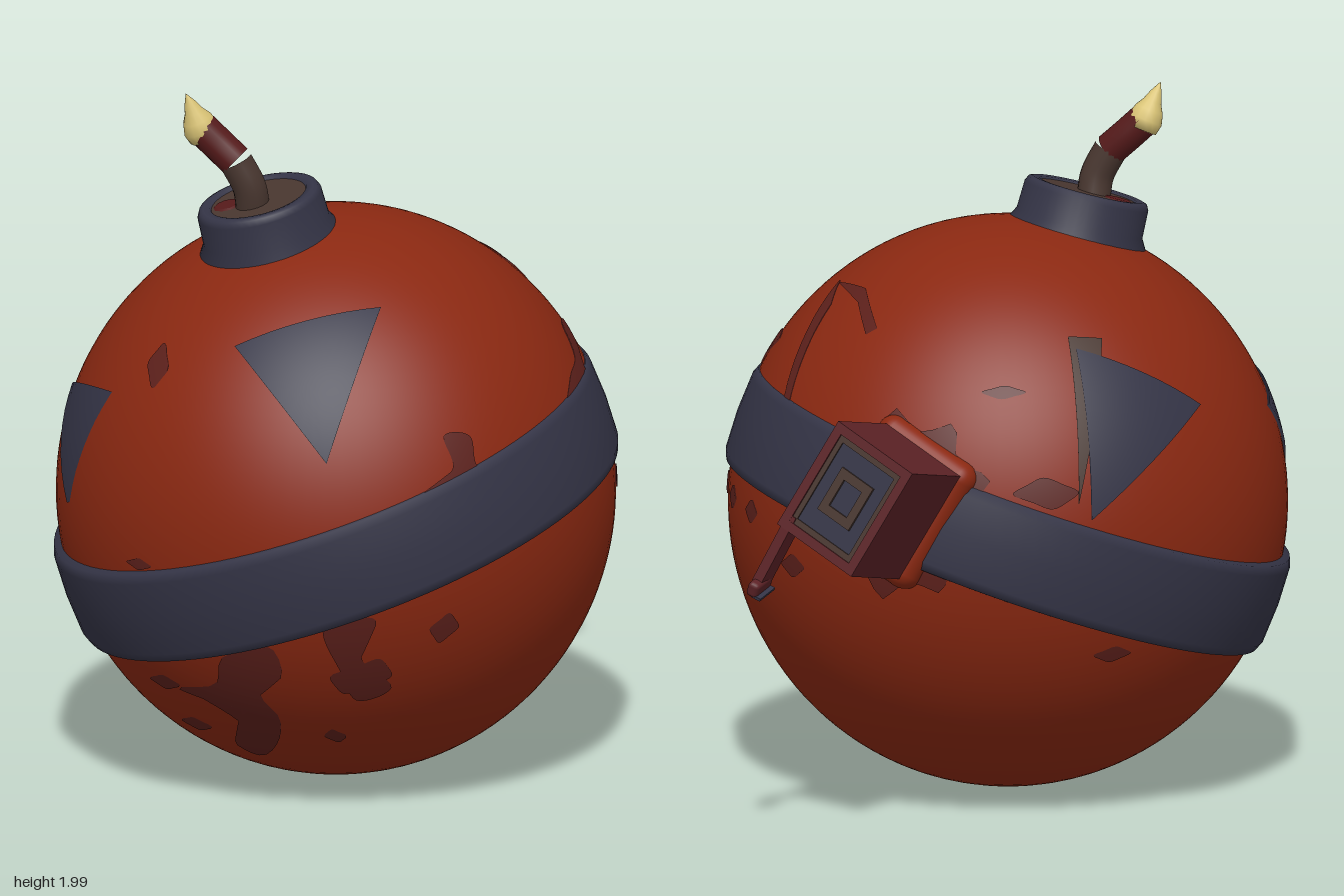
import * as THREE from 'three';
import { RoundedBoxGeometry } from 'three/addons/geometries/RoundedBoxGeometry.js';

const mat = (name, color, side = THREE.FrontSide) => {
  const m = new THREE.MeshStandardMaterial({ color, side });
  m.name = name;
  return m;
};
const V = (x, y, z) => new THREE.Vector3(x, y, z);

const R = 0.79, CY = 0.81, CZ = 0.2, SY = 1.025; // body radius, centre and stretch

export function createModel() {
  const red = mat('body red', 0x8a2811);
  const slate = mat('slate paint', 0x343446, THREE.DoubleSide);
  const grime = mat('dark red grime', 0x5c201b);
  const maroon = mat('maroon', 0x5c2226, THREE.DoubleSide);
  const brown = mat('worn brown', 0x48362f);
  const fuseRed = mat('fuse red', 0x551a1a);
  const flame = mat('flame yellow', 0xdac476);

  const root = new THREE.Group();
  const add = (parent, name, geo, material, x = 0, y = 0, z = 0) => {
    const m = new THREE.Mesh(geo, material);
    m.name = name;
    m.position.set(x, y, z);
    parent.add(m);
    return m;
  };
  const aim = (obj, dir) => obj.quaternion.setFromUnitVectors(V(0, 1, 0), dir.clone().normalize());

  // Round body
  const body = new THREE.Group();
  body.name = 'body';
  body.position.set(0, CY, CZ);
  body.scale.set(1, SY, 1);
  root.add(body);
  add(body, 'ball', new THREE.SphereGeometry(R, 96, 64), red);

  // Unit direction on the ball from two coordinates seen along one axis
  const onBall = (side, a, b) => {
    const far = (p, q) => Math.sqrt(Math.max(0, R * R - p * p - q * q));
    const y = (b - CY) / SY;
    let p;
    if (side === 'top') p = V(a, far(a, b - CZ), b - CZ);
    else if (side === 'front' || side === 'back') p = V(a, y, far(a, y) * (side === 'front' ? 1 : -1));
    else p = V(far(a - CZ, y) * (side === 'right' ? 1 : -1), y, a - CZ);
    return p.normalize();
  };

  // Thin curved plate that follows the ball, with a short skirt at its edge
  function patch(name, outline, lift, material) {
    const c = outline.reduce((s, p) => s.add(p), V(0, 0, 0)).normalize();
    const n = outline.length, rings = 6, pos = [], nor = [], idx = [];
    const turn = V(0, 0, 0);
    outline.forEach((p, i) => turn.add(p.clone().cross(outline[(i + 1) % n])));
    const pts = turn.dot(c) < 0 ? outline.slice().reverse() : outline;
    for (let k = 0; k <= rings + 1; k++) for (const p of pts) {
      const d = c.clone().lerp(p, Math.min(k / rings, 1)).normalize();
      nor.push(d.x, d.y, d.z);
      d.multiplyScalar(k > rings ? R - 0.01 : R + lift);
      pos.push(d.x, d.y, d.z);
    }
    for (let k = 0; k <= rings; k++) for (let i = 0; i < n; i++) {
      const a = k * n + i, b = k * n + (i + 1) % n;
      idx.push(a, a + n, b + n, a, b + n, b);
    }
    const g = new THREE.BufferGeometry();
    g.setAttribute('position', new THREE.Float32BufferAttribute(pos, 3));
    g.setAttribute('normal', new THREE.Float32BufferAttribute(nor, 3));
    g.setIndex(idx);
    add(body, name, g, material);
  }
  const straight = (side, corners) => corners.flatMap((p, i) => {
    const a = onBall(side, ...p), b = onBall(side, ...corners[(i + 1) % corners.length]);
    return Array.from({ length: 8 }, (_, k) => a.clone().lerp(b, k / 8).normalize());
  });
  const blob = (side, pts) => {
    const curve = new THREE.CatmullRomCurve3(pts.map((p) => onBall(side, ...p)), true);
    return curve.getPoints(40).slice(0, -1).map((p) => p.normalize());
  };
  const oval = (x, y, w, h) => Array.from({ length: 8 }, (_, i) => {
    const t = i * Math.PI / 4, s = i % 2 ? 0.85 : 1.1;
    return [x + w * s * Math.cos(t), y + h * s * Math.sin(t)];
  });

  // Painted triangles
  patch('frontTriangle', straight('front', [[-0.04, 1.35], [0.31, 1.45], [0.29, 1.07]]), 0.008, slate);
  patch('sideTriangle', straight('front', [[-0.69, 1.1], [-0.44, 1.17], [-0.58, 0.83]]), 0.008, slate);
  patch('backTriangle', straight('top', [[-0.56, -0.35], [-0.43, -0.2], [-0.69, 0.05]]), 0.008, slate);
  patch('backTriangleWear', straight('top', [[-0.53, -0.37], [-0.4, -0.19], [-0.47, -0.12]]), 0.005, brown);

  // Scratched outline of a lost triangle
  [[[0.13, -0.34], [0.16, -0.35], [0.25, -0.23], [0.38, -0.1], [0.24, -0.2]],
   [[0.37, -0.45], [0.39, -0.44], [0.4, -0.25], [0.38, -0.09], [0.35, -0.2]]]
    .forEach((p) => patch('scratch', straight('top', p), 0.004, grime));

  // Grime stains
  const stains = {
    front: [
      [[-0.02, 0.48], [0.13, 0.53], [0.15, 0.44], [0.07, 0.37], [0.1, 0.29], [0.06, 0.2], [-0.04, 0.13],
        [-0.09, 0.17], [-0.02, 0.25], [-0.12, 0.33], [-0.2, 0.35], [-0.06, 0.39]],
      [[0.29, 0.6], [0.42, 0.62], [0.37, 0.5], [0.42, 0.4], [0.33, 0.36], [0.31, 0.46]],
      oval(-0.28, 1.27, 0.035, 0.05), oval(0.23, 0.23, 0.025, 0.02), oval(-0.2, 0.22, 0.05, 0.02),
      oval(-0.25, 0.36, 0.05, 0.02), oval(-0.27, 0.73, 0.04, 0.015),
    ],
    right: [
      [[0.25, 1.1], [0.13, 1.19], [0.02, 1.22], [-0.05, 1.29], [-0.13, 1.28], [-0.1, 1.24], [-0.02, 1.18], [-0.04, 1.12]],
      [[0.76, 0.98], [0.68, 1.04], [0.67, 1.13], [0.61, 1.12], [0.62, 1.04], [0.56, 1.0]],
      oval(0.8, 0.44, 0.04, 0.05), oval(0.7, 0.58, 0.03, 0.04), oval(-0.12, 0.85, 0.04, 0.03),
      oval(-0.3, 0.85, 0.025, 0.03), oval(-0.42, 0.84, 0.02, 0.03),
    ],
    left: [oval(-0.42, 0.98, 0.05, 0.04), oval(-0.28, 1.12, 0.03, 0.015), oval(-0.25, 0.5, 0.04, 0.02)],
    back: [
      Array.from({ length: 18 }, (_, i) => {
        const t = i * Math.PI / 9, s = i % 2 ? 0.21 : 0.27;
        return [-0.06 + s * Math.cos(t), 0.93 + s * Math.sin(t)];
      }),
      oval(-0.3, 1.25, 0.05, 0.015), oval(0.3, 0.72, 0.04, 0.03),
    ],
  };
  for (const side in stains) stains[side].forEach((p) => patch('stain', blob(side, p), 0.004, grime));

  // Tilted band around the ball
  const bandProfile = [[0.765, -0.14], [0.796, -0.135], [0.806, -0.11], [0.811, 0], [0.806, 0.11], [0.796, 0.135], [0.765, 0.14]];
  const band = add(root, 'band', new THREE.LatheGeometry(
    bandProfile.map((p) => new THREE.Vector2(...p)), 96), slate, 0, 0.79, CZ);
  aim(band, V(-0.3, 1, 0.2));

  // Collar with a sunken lid
  const collar = new THREE.Group();
  collar.name = 'collar';
  collar.position.set(-0.155, 1.685, 0.39);
  aim(collar, V(-0.17, 0.96, 0.2));
  root.add(collar);
  const rim = [[0.205, -0.2], [0.2, -0.13], [0.183, -0.1], [0.18, -0.02], [0.172, -0.004], [0.16, 0], [0.14, -0.002], [0.132, -0.02]];
  add(collar, 'collarRing', new THREE.LatheGeometry(rim.map((p) => new THREE.Vector2(...p)), 48), slate);
  add(collar, 'lid', new THREE.CylinderGeometry(0.145, 0.145, 0.04, 40), brown, 0, -0.028, 0);
  add(collar, 'lidStain', new THREE.CylinderGeometry(0.035, 0.045, 0.006, 10), fuseRed, -0.085, -0.007, 0.03);

  // Bent fuse in two colours with a flame at the end
  const tube = (name, pts, material) =>
    add(root, name, new THREE.TubeGeometry(new THREE.CatmullRomCurve3(pts), 20, 0.048, 16), material);
  tube('fuseLower', [V(-0.16, 1.64, 0.41), V(-0.165, 1.72, 0.425), V(-0.2, 1.795, 0.44)], brown);
  tube('fuseUpper', [V(-0.2, 1.795, 0.44), V(-0.25, 1.84, 0.448), V(-0.297, 1.885, 0.46)], fuseRed);
  const bud = [[0, -0.02], [0.045, -0.015], [0.051, 0.015], [0.042, 0.045], [0.027, 0.07], [0.018, 0.095], [0, 0.13]];
  const tip = add(root, 'flame', new THREE.LatheGeometry(
    bud.map((p) => new THREE.Vector2(...p)), 14), flame, -0.295, 1.872, 0.457);
  aim(tip, V(-0.035, 0.12, 0.04));

  // Box on the back, turned about its own axis; local z points outwards
  const box = new THREE.Group();
  box.name = 'backBox';
  const w = V(-0.05, 0.2, -0.98).normalize();
  const u = V(0.16, -0.3, -0.07);
  u.addScaledVector(w, -u.dot(w)).normalize();
  box.quaternion.setFromRotationMatrix(new THREE.Matrix4().makeBasis(u.clone().cross(w), u, w));
  box.position.set(-0.07, 1.015, -0.91);
  root.add(box);
  const frame = (W, H, w2, h2, depth) => {
    const rect = (S, a, b) => {
      const s = new S();
      s.moveTo(-a / 2, -b / 2).lineTo(a / 2, -b / 2).lineTo(a / 2, b / 2).lineTo(-a / 2, b / 2).closePath();
      return s;
    };
    const s = rect(THREE.Shape, W, H);
    s.holes.push(rect(THREE.Path, w2, h2));
    return new THREE.ExtrudeGeometry(s, { depth, bevelEnabled: false });
  };
  add(box, 'boxBody', new THREE.BoxGeometry(0.275, 0.345, 0.48), maroon, 0, 0, -0.26);
  add(box, 'boxRim', frame(0.275, 0.345, 0.22, 0.29, 0.02), maroon, 0, 0, -0.02);
  add(box, 'panelEdge', frame(0.22, 0.29, 0.19, 0.255, 0.014), brown, 0, 0, -0.02);
  add(box, 'panel', new THREE.BoxGeometry(0.2, 0.27, 0.008), slate, 0, 0, -0.016);
  add(box, 'panelFrame', frame(0.115, 0.14, 0.065, 0.085, 0.009), brown, 0, 0, -0.012);
  add(box, 'boxSeat', new RoundedBoxGeometry(0.34, 0.41, 0.16, 4, 0.05), red, 0, 0, -0.4);

  // Small lever hanging from the box corner
  const from = V(0.09, 0.95, -0.9), to = V(0.185, 0.755, -0.935);
  const mid = from.clone().lerp(to, 0.5);
  const lever = add(root, 'lever', new THREE.BoxGeometry(0.03, from.distanceTo(to), 0.06), maroon, mid.x, mid.y, mid.z);
  aim(lever, from.clone().sub(to));
  const foot = add(root, 'leverFoot', new RoundedBoxGeometry(0.035, 0.045, 0.1, 2, 0.012), maroon, 0.185, 0.75, -0.94);
  foot.rotation.set(-0.2, 0, 0.4);
  const sole = add(root, 'leverSole', new THREE.BoxGeometry(0.03, 0.008, 0.09), slate, 0.177, 0.728, -0.937);
  sole.rotation.copy(foot.rotation);

  return root;
}
